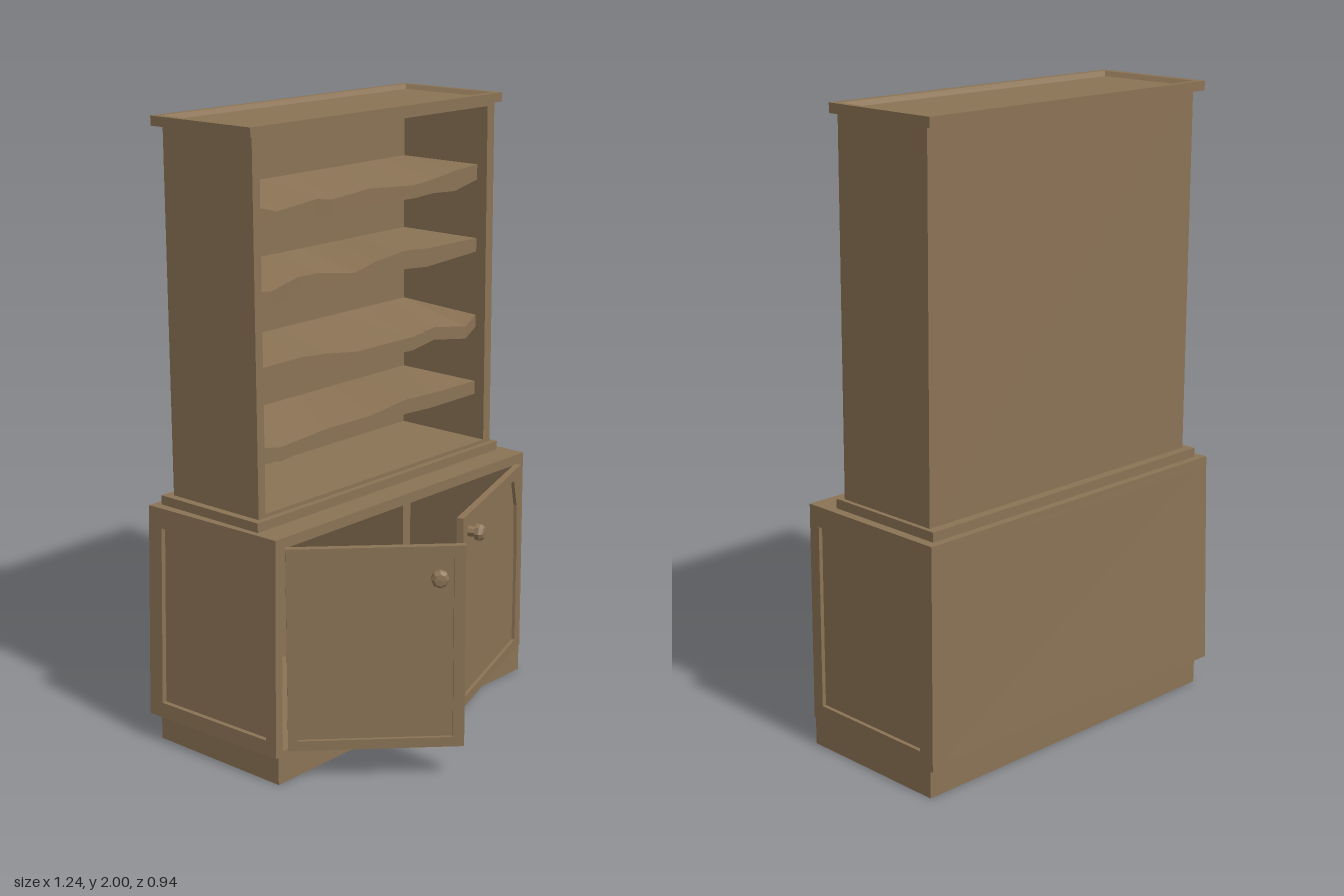
import * as THREE from 'three';

const wood = new THREE.MeshStandardMaterial({ color: 0x8b7355, side: THREE.DoubleSide });
wood.name = 'weathered wood';

// Flat facets, then a named mesh
function part(parent, name, geometry) {
  const g = geometry.index ? geometry.toNonIndexed() : geometry;
  g.computeVertexNormals();
  const mesh = new THREE.Mesh(g, wood);
  mesh.name = name;
  parent.add(mesh);
  return mesh;
}

function moveVertices(g, rule) {
  const p = g.attributes.position;
  const v = new THREE.Vector3();
  for (let i = 0; i < p.count; i++) {
    rule(v.fromBufferAttribute(p, i));
    p.setXYZ(i, v.x, v.y, v.z);
  }
  return g;
}

function board(x0, x1, y0, y1, z0, z1) {
  return new THREE.BoxGeometry(x1 - x0, y1 - y0, z1 - z0)
    .translate((x0 + x1) / 2, (y0 + y1) / 2, (z0 + z1) / 2);
}

const rect = (x0, x1, y0, y1) => [[x0, y0], [x1, y0], [x1, y1], [x0, y1]];
const vectors = (pts) => pts.map(([x, y]) => new THREE.Vector2(x, y));

// Flat frame around an opening, extruded along z
function frame(outer, inner, depth) {
  const shape = new THREE.Shape(vectors(outer));
  shape.holes.push(new THREE.Path(vectors(inner)));
  return new THREE.ExtrudeGeometry(shape, { depth, bevelEnabled: false });
}

// Sagging, splayed right-hand end (-x) of the old base cabinet
function baseWarp(v) {
  const k = THREE.MathUtils.clamp((-0.2 - v.x) / 0.4, 0, 1);
  const low = (0.79 - v.y) / 0.7;
  const back = (0.07 - v.z) / 0.535;
  v.x += k * (0.008 * (1 - back) * (1 - low) - 0.006 * back - low * (0.006 + 0.01 * back));
  v.z -= 0.009 * k * low * back;
}

function baseCabinet() {
  const g = new THREE.Group();
  g.name = 'baseCabinet';
  const add = (name, geo) => part(g, name, moveVertices(geo, baseWarp));

  part(g, 'plinth', board(-0.595, 0.61, 0, 0.1, -0.45, 0.07));
  add('baseFloor', board(-0.6, 0.615, 0.09, 0.106, -0.465, 0.07));
  add('baseTop', board(-0.6, 0.615, 0.756, 0.79, -0.465, 0.07));
  add('baseBack', board(-0.6, 0.615, 0.09, 0.79, -0.465, -0.445));
  add('divider', board(-0.01, 0.025, 0.1, 0.76, -0.45, 0.069));

  // Framed side walls with recessed panels
  const sides = [['rightSide', -0.6, -0.585, -0.57], ['leftSide', 0.6, 0.588, 0.602]];
  for (const [name, xFrame, p0, p1] of sides) {
    const side = frame(rect(-0.07, 0.465, 0.09, 0.79), rect(-0.03, 0.41, 0.14, 0.725), 0.015)
      .rotateY(Math.PI / 2).translate(xFrame, 0, 0);
    add(name + 'Frame', side);
    add(name + 'Panel', board(p0, p1, 0.1, 0.78, -0.46, 0.07));
  }

  part(g, 'ledge', board(-0.575, 0.585, 0.785, 0.82, -0.44, -0.02));
  return g;
}

// Shelf with a straight back and a worn front edge: [x, drop, thickness, z shift]
function shelf(y, profile) {
  const n = profile.length - 1;
  const geo = new THREE.BoxGeometry(n, 1, 1, n, 1, 1);
  return moveVertices(geo, (v) => {
    const [x, drop, thick, dz] = profile[Math.round(v.x + n / 2)];
    const front = v.z > 0;
    const top = v.y > 0;
    v.x = x;
    v.y = y - (front ? drop : 0) - (top ? 0 : front ? thick : 0.045);
    v.z = front ? -0.08 + dz : -0.396;
  });
}

const SHELVES = [
  [1.765, [[-0.52, 0.004, 0.046, 0], [-0.42, 0.03, 0.045, 0.01], [-0.25, 0.015, 0.05, 0.01],
    [-0.16, 0.03, 0.05, -0.01], [0, 0.015, 0.05, 0], [0.2, 0.028, 0.042, 0.01],
    [0.3, 0.02, 0.045, 0.01], [0.42, 0.008, 0.066, 0], [0.535, 0, 0.05, 0]]],
  [1.52, [[-0.52, 0.012, 0.035, 0], [-0.45, 0.02, 0.045, 0.01], [-0.3, 0.003, 0.042, -0.02],
    [-0.2, 0.008, 0.045, -0.03], [-0.07, 0.024, 0.036, 0], [0.02, 0, 0.052, 0.01],
    [0.16, -0.014, 0.06, 0.01], [0.28, -0.002, 0.06, 0], [0.535, 0, 0.045, 0]]],
  [1.275, [[-0.52, 0.004, 0.04, 0], [-0.3, 0.006, 0.04, -0.01], [-0.2, 0.012, 0.05, 0],
    [-0.08, 0.025, 0.04, 0.02], [0.1, 0.025, 0.042, 0.02], [0.2, 0.03, 0.044, 0.01],
    [0.32, 0.02, 0.042, 0], [0.47, 0.042, 0.042, 0.01], [0.535, 0.015, 0.042, 0]]],
  [1.033, [[-0.52, 0.003, 0.044, 0], [-0.41, 0.024, 0.045, 0], [-0.2, 0.015, 0.04, -0.01],
    [0, 0.007, 0.042, 0.01], [0.17, -0.01, 0.048, 0.01], [0.3, 0, 0.048, 0],
    [0.535, 0.002, 0.045, 0]]],
];

function upperCase() {
  const g = new THREE.Group();
  g.name = 'shelfCase';
  part(g, 'caseRightSide', board(-0.55, -0.52, 0.82, 1.97, -0.41, -0.04));
  part(g, 'caseLeftSide', board(0.535, 0.57, 0.82, 1.97, -0.41, -0.04));
  part(g, 'caseBack', board(-0.53, 0.55, 0.82, 1.97, -0.41, -0.395));
  part(g, 'caseFloor', board(-0.53, 0.55, 0.815, 0.832, -0.4, -0.04));
  part(g, 'caseCeiling', board(-0.53, 0.55, 1.958, 1.975, -0.4, -0.04));
  SHELVES.forEach(([y, profile], i) => part(g, 'shelf' + (i + 1), shelf(y, profile)));

  // Cornice with a shallow tray in its top, edged by a sloping lip
  const cornice = frame(rect(-0.575, 0.585, 0.02, 0.435), rect(-0.55, 0.565, 0.045, 0.415), 0.03)
    .rotateX(-Math.PI / 2).translate(0, 1.97, 0);
  part(g, 'cornice', cornice);
  part(g, 'cornicePanel', board(-0.56, 0.575, 1.97, 1.985, -0.425, -0.035));
  const lip = new THREE.CylinderGeometry(1, 1, 1, 4, 1, true).rotateY(Math.PI / 4);
  moveVertices(lip, (v) => {
    const inset = v.y > 0 ? 0 : 0.012;
    v.set(0.0075 + Math.sign(v.x) * (0.5575 - inset), v.y > 0 ? 2 : 1.985,
      -0.23 + Math.sign(v.z) * (0.185 - inset));
  });
  part(g, 'corniceLip', lip);
  return g;
}

// Door hung from local x = 0; dir is the way it runs from the hinge
function door(name, dir, x, angle, sag, opening) {
  const g = new THREE.Group();
  g.name = name;
  const w = 0.54;
  const orient = (pts) => pts.map(([a, b]) => [a * dir, b]);
  const droop = (v) => { v.y -= sag * Math.abs(v.x) / w; };
  const face = frame(orient(rect(0, w, 0.108, 0.76)), orient(opening), 0.012).translate(0, 0, 0.011);
  part(g, name + 'Frame', moveVertices(face, droop));
  const panel = board(Math.min(0, dir * w), Math.max(0, dir * w), 0.108, 0.76, 0, 0.012);
  part(g, name + 'Panel', moveVertices(panel, droop));

  // Turned knob
  const knob = new THREE.LatheGeometry(vectors([
    [0.019, 0.008], [0.016, 0.034], [0.028, 0.038], [0.028, 0.052], [0.019, 0.064], [0, 0.066],
  ]), 8).rotateX(Math.PI / 2).translate(dir * 0.46, 0.665 + sag * 0.1, 0);
  part(g, name + 'Knob', knob);

  g.position.set(x, 0, 0.07);
  g.rotation.y = angle;
  return g;
}

export function createModel() {
  const model = new THREE.Group();
  model.name = 'hutchCabinet';
  model.add(baseCabinet(), upperCase());
  model.add(door('rightDoor', 1, -0.552, -Math.PI / 4, 0,
    [[0.03, 0.14], [0.505, 0.14], [0.505, 0.73], [0.06, 0.73], [0.035, 0.6], [0.025, 0.4]]));
  model.add(door('leftDoor', -1, 0.57, 0.31, 0.026,
    [[0.035, 0.14], [0.505, 0.14], [0.505, 0.74], [0.07, 0.725], [0.04, 0.63], [0.032, 0.45]]));
  return model;
}
